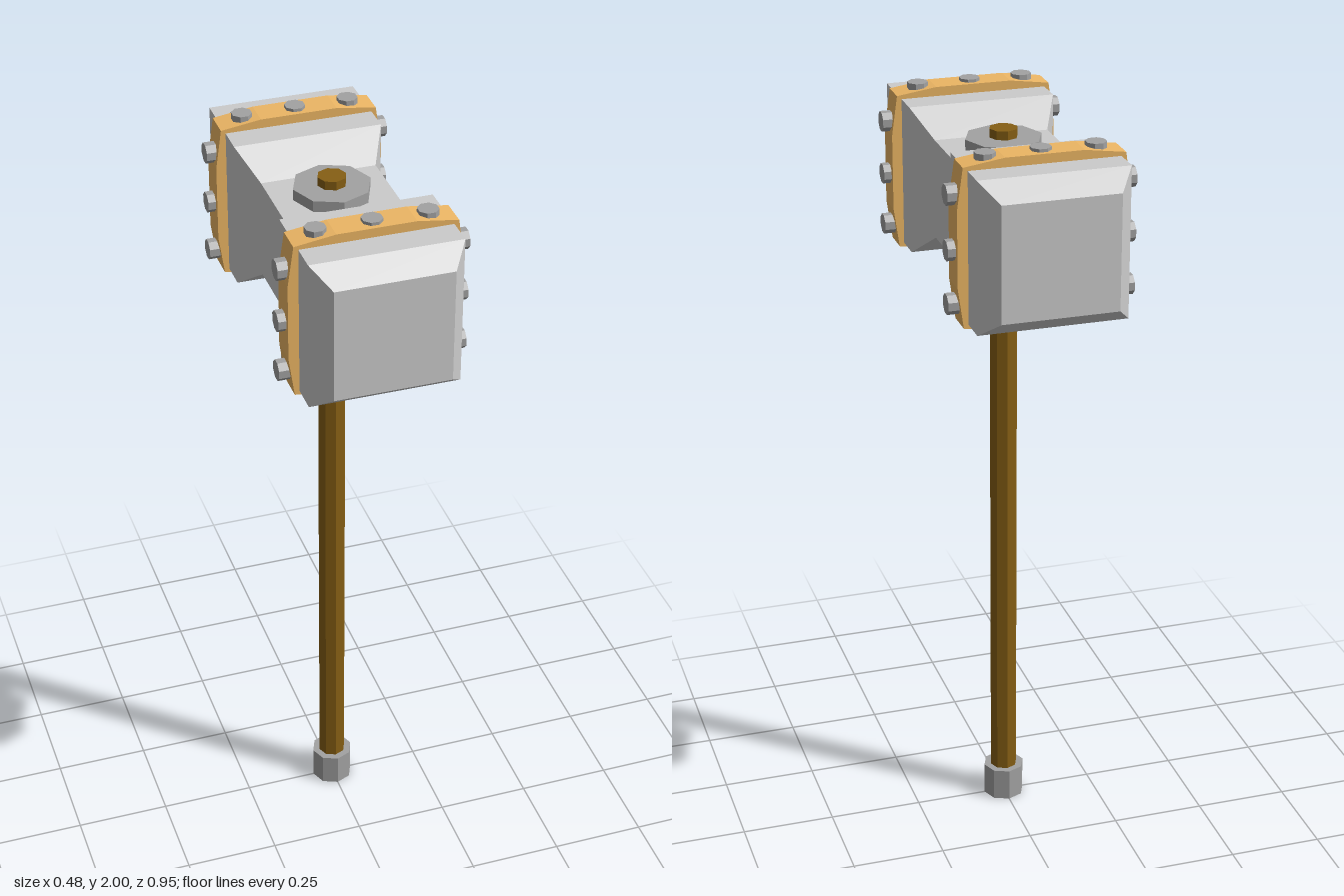
import * as THREE from 'three';

const mat = (color) => new THREE.MeshStandardMaterial({ color, flatShading: true });
const HEAD_Y = 1.772;

export function createModel() {
  const model = new THREE.Group();
  model.name = 'warHammer';
  const stone = mat(0xcccccc), steel = mat(0xa2a2a2), gold = mat(0xecb664), wood = mat(0x865f14);

  const add = (name, geometry, material, parent = model) => {
    const mesh = new THREE.Mesh(geometry, material);
    mesh.name = name;
    parent.add(mesh);
    return mesh;
  };
  // Upright octagonal prism between two heights
  const prism = (name, radius, y0, y1, material) => {
    const mesh = add(name, new THREE.CylinderGeometry(radius, radius, y1 - y0, 8), material);
    mesh.position.y = (y0 + y1) / 2;
    return mesh;
  };

  // Shaft and its fittings
  prism('handle', 0.037, 0.04, 1.955, wood);
  prism('pommel', 0.056, 0, 0.09, steel);
  prism('goldCollar', 0.051, 1.505, 1.585, gold);
  prism('steelCollar', 0.051, 1.585, 1.66, steel);
  prism('topPlate', 0.1, 1.89, 1.932, steel);

  // Head: a box sliced along z, each slice moved and scaled to a [z, halfWidth, halfHeight] station
  const half = [[0.105, 0.15, 0.131], [0.19, 0.193, 0.196], [0.413, 0.193, 0.196], [0.473, 0.15, 0.15]];
  const stations = [...half.map(([z, w, h]) => [-z, w, h]).reverse(), ...half];
  const headGeometry = new THREE.BoxGeometry(2, 2, 7, 1, 1, 7);
  const p = headGeometry.attributes.position;
  for (let i = 0; i < p.count; i++) {
    const [z, w, h] = stations[Math.round(p.getZ(i) + 3.5)];
    p.setXYZ(i, p.getX(i) * w, p.getY(i) * h, z);
  }
  headGeometry.computeVertexNormals();
  add('head', headGeometry, stone).position.y = HEAD_Y;

  // Band outline: square with slightly bulging sides, hollow where the head passes through
  const corner = 0.205, bulge = 0.22, flat = 0.1;
  const outline = [];
  for (let side = 0; side < 4; side++) {
    for (const [x, y] of [[corner, -corner], [bulge, -flat], [bulge, flat]]) {
      const point = new THREE.Vector2(x, y);
      outline.push(point.rotateAround(new THREE.Vector2(), side * Math.PI / 2));
    }
  }
  const bandShape = new THREE.Shape(outline);
  const inner = 0.188;
  bandShape.holes.push(new THREE.Path([
    new THREE.Vector2(-inner, -inner), new THREE.Vector2(-inner, inner),
    new THREE.Vector2(inner, inner), new THREE.Vector2(inner, -inner),
  ]));
  const bandGeometry = new THREE.ExtrudeGeometry(bandShape, { depth: 0.074, bevelEnabled: false });
  bandGeometry.translate(0, 0, -0.037);

  // Bolts lie along +y, with the outer end at the given reach
  const boltGeometry = new THREE.CylinderGeometry(0.027, 0.027, 0.05, 8);
  boltGeometry.rotateY(Math.PI / 8);

  for (const z of [-0.302, 0.302]) {
    const band = new THREE.Group();
    band.name = z > 0 ? 'frontBand' : 'backBand';
    band.position.set(0, HEAD_Y, z);
    model.add(band);
    add('strap', bandGeometry, gold, band);
    for (const sign of [-1, 1]) {
      for (const x of [-0.14, 0, 0.14]) {
        add(sign > 0 ? 'topBolt' : 'bottomBolt', boltGeometry, steel, band)
          .position.set(x, sign * 0.203, 0);
      }
      for (const y of [-0.15, -0.011, 0.13]) {
        const bolt = add(sign > 0 ? 'leftBolt' : 'rightBolt', boltGeometry, steel, band);
        bolt.rotation.z = -sign * Math.PI / 2;
        bolt.position.set(sign * 0.215, y, 0);
      }
    }
  }
  return model;
}
